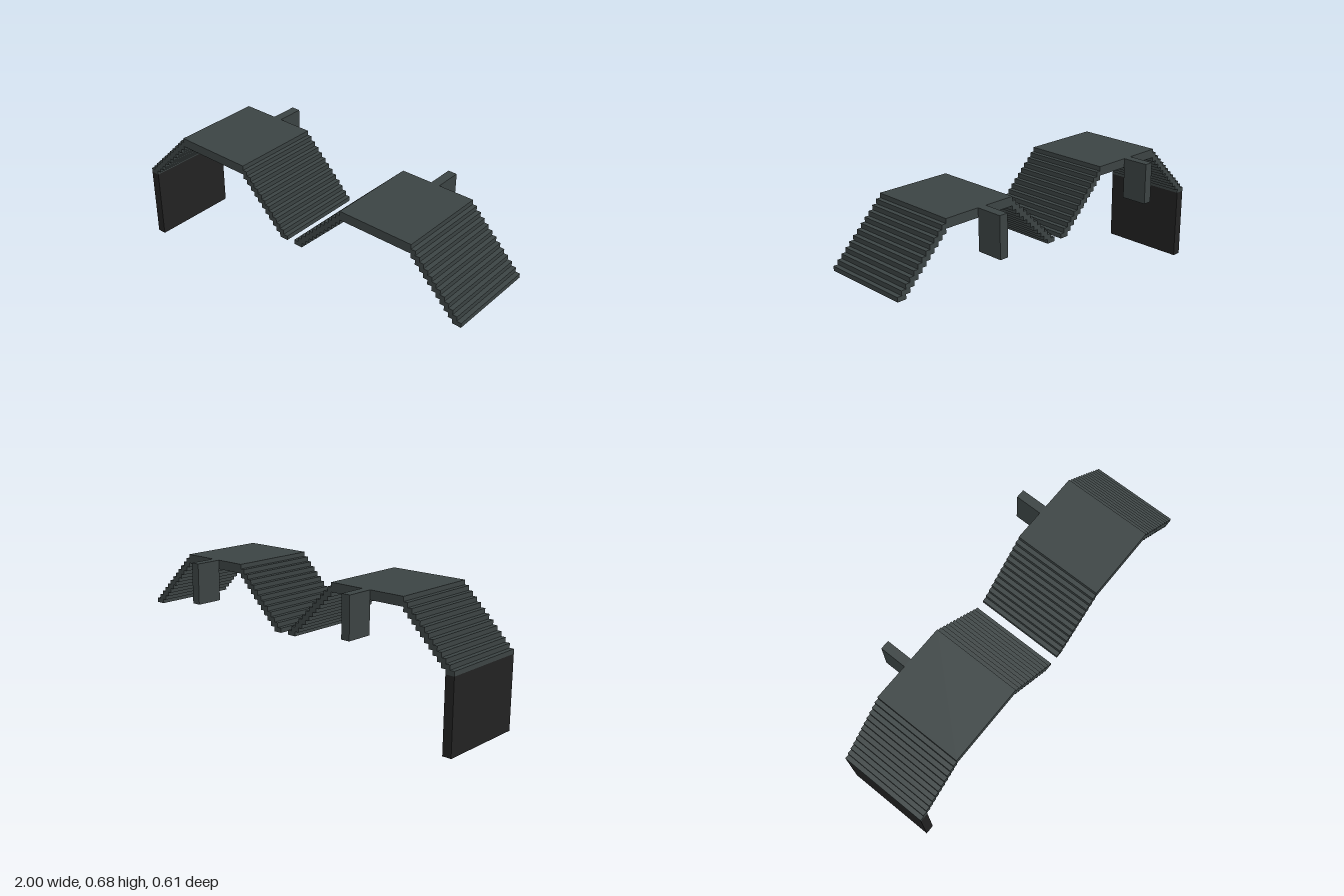
import * as THREE from 'three';

// The whole structure sits on a grid: 85 cells long, 29 high, 26 deep
const U = 2 / 85;

export function createModel() {
  const model = new THREE.Group();
  model.name = 'steppedBridges';
  const slate = new THREE.MeshStandardMaterial({ name: 'slate', color: 0x3c4444 });
  const charcoal = new THREE.MeshStandardMaterial({ name: 'charcoal', color: 0x222222 });

  // Box given by its cell ranges, counted from the right, bottom, back corner
  function block(parent, name, material, [x0, x1], [y0, y1], [z0, z1]) {
    const geometry = new THREE.BoxGeometry((x1 - x0) * U, (y1 - y0) * U, (z1 - z0) * U);
    const mesh = new THREE.Mesh(geometry, material);
    mesh.name = name;
    mesh.position.set(((x0 + x1) / 2 - 42.5) * U, ((y0 + y1) / 2) * U, ((z0 + z1) / 2 - 13) * U);
    parent.add(mesh);
  }

  const STEPS = 12;
  const DECK_Z = [6, 26];

  // Raised deck with stairs down both sides and a bracket behind it
  function bridge(name, start, deckLength, bracketX) {
    const group = new THREE.Group();
    group.name = name;
    const end = start + 2 * STEPS + deckLength;
    block(group, 'deck', slate, [start + STEPS, end - STEPS], [27, 29], DECK_Z);
    for (let i = 0; i < STEPS; i++) {
      const width = i === STEPS - 1 ? 1 : 2; // the top step stops at the deck
      const y = [16 + i, 17 + i];
      block(group, 'rightStep', slate, [start + i, start + i + width], y, DECK_Z);
      block(group, 'leftStep', slate, [end - i - width, end - i], y, DECK_Z);
    }
    block(group, 'rearBracket', slate, [bracketX, bracketX + 2], [20, 29], [0, 6]);
    model.add(group);
  }

  bridge('rightBridge', 0, 18, 20);
  bridge('leftBridge', 44, 17, 63);

  // Wall carrying the outer end of the right bridge
  block(model, 'endWall', charcoal, [0, 2], [0, 16], DECK_Z);
  return model;
}
